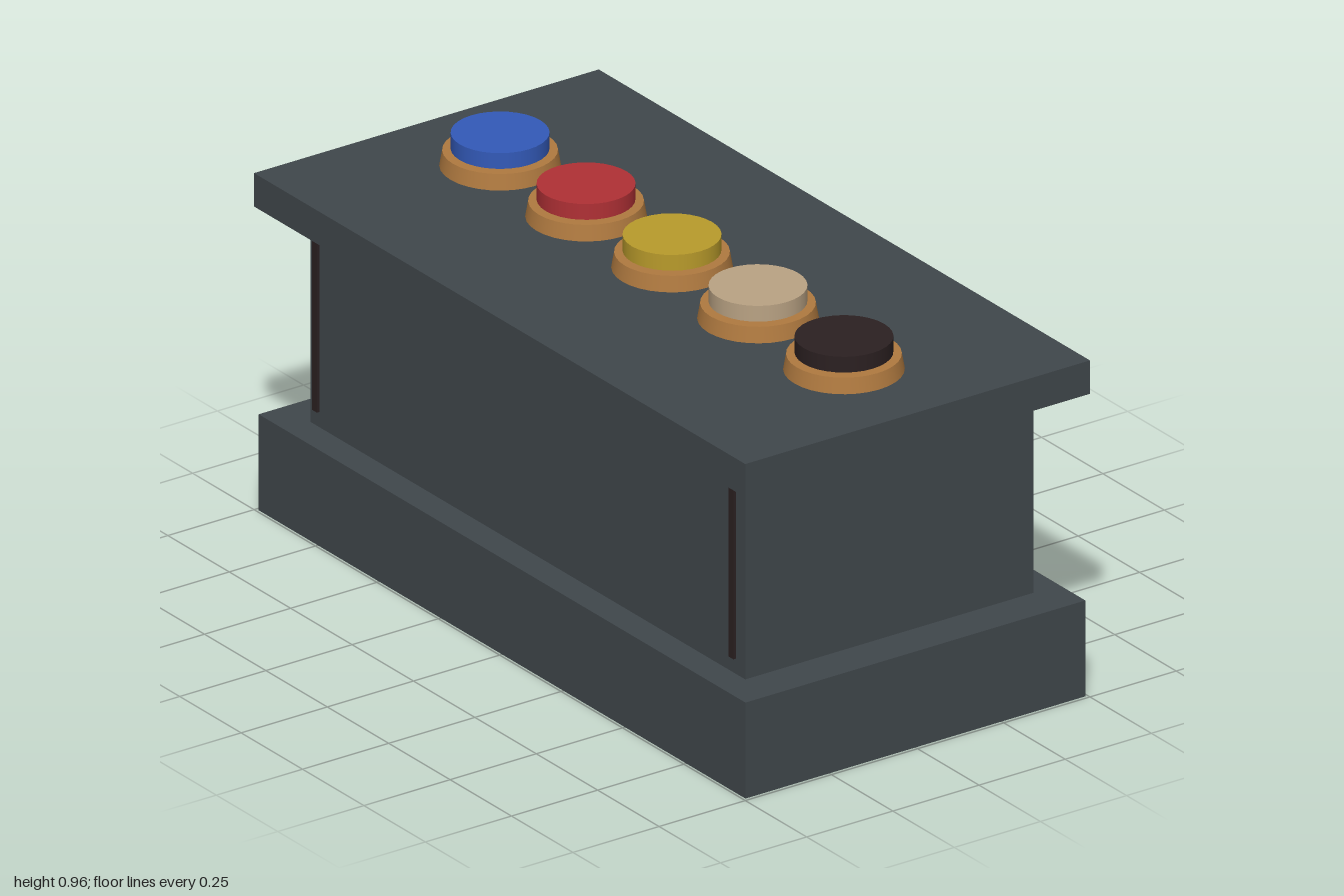
import * as THREE from 'three';

const mat = (name, color) => {
  const m = new THREE.MeshStandardMaterial({ color });
  m.name = name;
  return m;
};

export function createModel() {
  const group = new THREE.Group();
  const slate = mat('slate', 0x40474b);
  const copper = mat('copper', 0xb07a40);
  const black = mat('black', 0x2b2021);
  const blue = mat('blue', 0x335ab9);
  const red = mat('red', 0xb03035);
  const yellow = mat('yellow', 0xb99b2b);
  const cream = mat('cream', 0xbaa384);

  const add = (name, geometry, material, x, y, z) => {
    const mesh = new THREE.Mesh(geometry, material);
    mesh.name = name;
    mesh.position.set(x, y, z);
    group.add(mesh);
  };
  // box standing between two heights
  const box = (name, material, w, d, y0, y1, x = 0, z = 0) =>
    add(name, new THREE.BoxGeometry(w, y1 - y0, d), material, x, (y0 + y1) / 2, z);

  // console: plinth, body and overhanging top
  box('plinth', slate, 1.982, 0.986, 0, 0.25);
  box('body', slate, 1.77, 0.836, 0.25, 0.79);
  box('topSlab', slate, 2, 1, 0.79, 0.877);

  // thin dark strips standing just off the front face
  for (const side of [-1, 1]) {
    box(side > 0 ? 'leftStrip' : 'rightStrip', black, 0.02, 0.008, 0.296, 0.759, side * 0.848, 0.429);
  }

  // row of buttons: tapered collar with a cap hovering just above it
  const collar = new THREE.CylinderGeometry(0.137, 0.144, 0.04, 32);
  const cap = new THREE.CylinderGeometry(0.117, 0.117, 0.041, 32);
  [['blue', blue], ['red', red], ['yellow', yellow], ['cream', cream], ['black', black]].forEach(([name, material], i) => {
    const x = (i - 2) * 0.35;
    add(name + 'ButtonCollar', collar, copper, x, 0.897, 0);
    add(name + 'ButtonCap', cap, material, x, 0.9415, 0);
  });

  return group;
}
